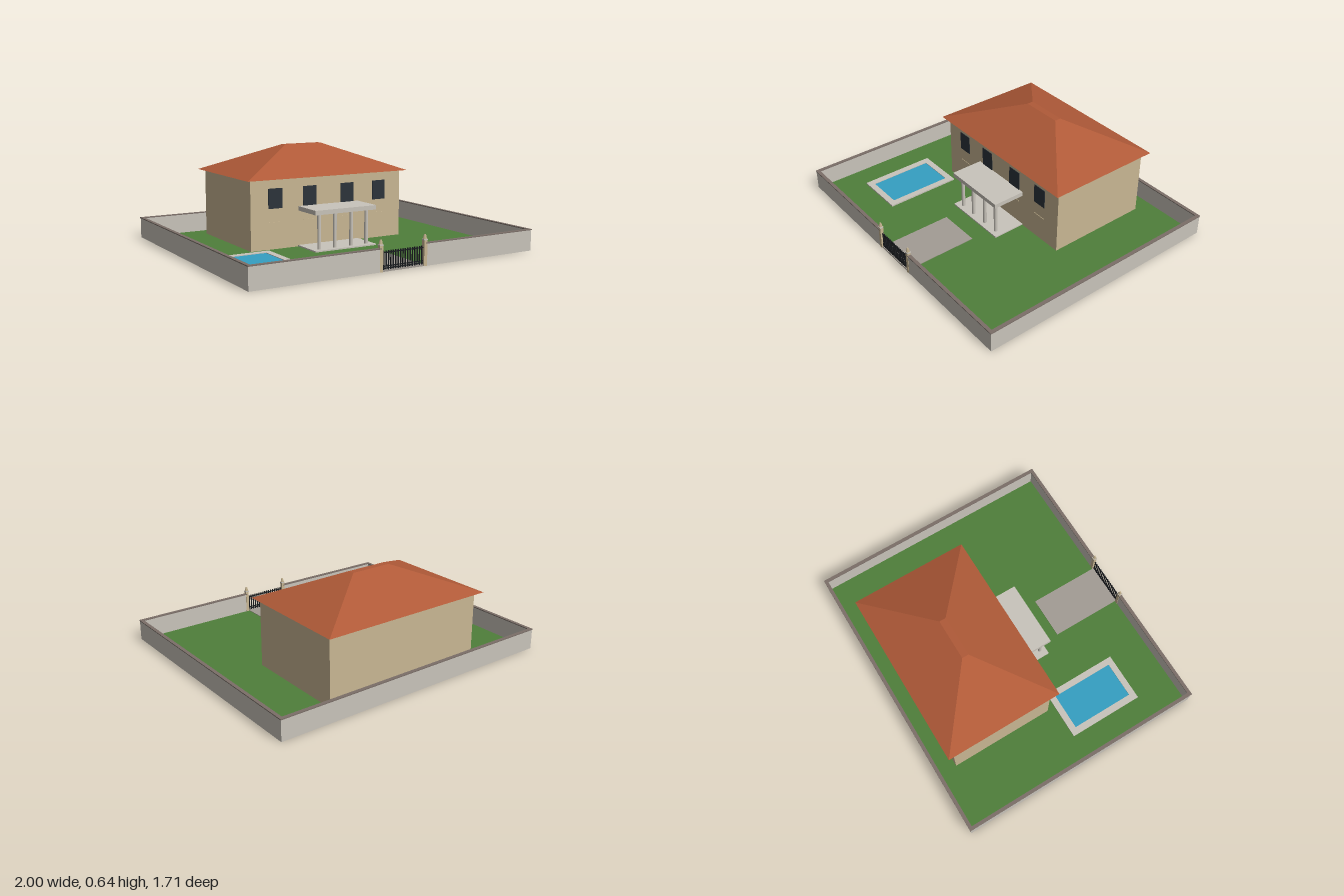
import * as THREE from 'three';

const mat = (name, color, extra = {}) => {
  const m = new THREE.MeshStandardMaterial({ color, ...extra });
  m.name = name;
  return m;
};

export function createModel() {
  const M = {
    stone: mat('pale stone', 0xc9c4bb),
    coping: mat('wall coping', 0x7b6f68),
    grass: mat('grass', 0x4f7f3a),
    plaster: mat('beige plaster', 0xc9b793),
    roof: mat('terracotta roof', 0xb05a38, { flatShading: true }),
    glass: mat('dark glass', 0x2c343b),
    water: mat('pool water', 0x359fc2),
    paving: mat('grey paving', 0xa39c94),
    iron: mat('black iron', 0x1b1d20),
  };
  const model = new THREE.Group();
  model.name = 'walledHouse';

  // Box given by its extents
  const box = (name, material, x0, x1, y0, y1, z0, z1, parent = model) => {
    const mesh = new THREE.Mesh(new THREE.BoxGeometry(x1 - x0, y1 - y0, z1 - z0), material);
    mesh.position.set((x0 + x1) / 2, (y0 + y1) / 2, (z0 + z1) / 2);
    mesh.name = name;
    parent.add(mesh);
    return mesh;
  };
  const group = (name) => {
    const g = new THREE.Group();
    g.name = name;
    model.add(g);
    return g;
  };

  // Garden and driveway
  box('lawn', M.grass, -0.98, 0.98, 0, 0.006, -0.84, 0.84);
  box('driveway', M.paving, -0.145, 0.145, 0, 0.01, 0.35, 0.85);

  // Boundary wall with a darker coping, open at the gate
  const boundary = group('boundaryWall');
  const wall = (x0, x1, z0, z1) => {
    box('wall', M.stone, x0, x1, 0, 0.134, z0, z1, boundary);
    box('coping', M.coping, x0 - 0.003, x1 + 0.003, 0.134, 0.14, z0 - 0.003, z1 + 0.003, boundary);
  };
  wall(-0.997, 0.997, -0.852, -0.835);
  for (const s of [-1, 1]) {
    wall(s * 0.9885 - 0.0085, s * 0.9885 + 0.0085, -0.835, 0.835);
    wall(s < 0 ? -0.997 : 0.16, s < 0 ? -0.16 : 0.997, 0.835, 0.852);
  }

  // Gate posts with tapered finials
  for (const s of [-1, 1]) {
    const post = group(s < 0 ? 'rightGatePost' : 'leftGatePost');
    post.position.set(s * 0.157, 0, 0.843);
    box('shaft', M.plaster, -0.011, 0.011, 0, 0.155, -0.011, 0.011, post);
    box('postCap', M.stone, -0.013, 0.013, 0.155, 0.162, -0.013, 0.013, post);
    const finial = new THREE.Mesh(new THREE.CylinderGeometry(0.006, 0.013, 0.028, 4), M.plaster);
    finial.rotation.y = Math.PI / 4;
    finial.position.y = 0.176;
    finial.name = 'finial';
    post.add(finial);
  }

  // Iron gate
  const gate = group('gate');
  for (const y of [0.016, 0.028, 0.108]) {
    box('rail', M.iron, -0.144, 0.144, y, y + 0.006, 0.84, 0.846, gate);
  }
  for (let i = 0; i < 17; i++) {
    const x = -0.136 + i * 0.017;
    box('bar', M.iron, x - 0.003, x + 0.003, 0.008, 0.122, 0.84, 0.846, gate);
  }

  // House body and windows
  box('houseBody', M.plaster, -0.57, 0.57, 0, 0.46, -0.715, 0);
  for (const x of [-0.395, -0.143, 0.143, 0.395]) {
    box('window', M.glass, x - 0.05, x + 0.05, 0.27, 0.4, -0.002, 0.004);
    box('ledge', M.plaster, x - 0.05, x + 0.05, 0.178, 0.182, -0.002, 0.003);
  }

  // Hipped roof: a box whose upper corners are drawn in to the short ridge
  const roofGeo = new THREE.BoxGeometry(1.21, 0.182, 0.8);
  const p = roofGeo.attributes.position;
  for (let i = 0; i < p.count; i++) {
    if (p.getY(i) > 0) p.setXYZ(i, Math.sign(p.getX(i)) * 0.14, p.getY(i), Math.sign(p.getZ(i)) * 0.022);
  }
  roofGeo.computeVertexNormals();
  const roof = new THREE.Mesh(roofGeo, M.roof);
  roof.position.set(0, 0.551, -0.36);
  roof.name = 'hippedRoof';
  model.add(roof);

  // Porch
  const porch = group('porch');
  box('porchFloor', M.stone, -0.23, 0.23, 0, 0.015, 0, 0.225, porch);
  box('porchRoof', M.stone, -0.228, 0.228, 0.243, 0.272, 0, 0.225, porch);
  for (const x of [-0.178, -0.062, 0.062, 0.178]) {
    const column = new THREE.Mesh(new THREE.CylinderGeometry(0.0125, 0.0125, 0.23, 16), M.stone);
    column.position.set(x, 0.129, 0.183);
    column.name = 'column';
    porch.add(column);
  }

  // Swimming pool: four rim slabs around the water
  const pool = group('pool');
  box('rim', M.stone, -0.81, -0.765, 0, 0.016, 0.055, 0.572, pool);
  box('rim', M.stone, -0.515, -0.472, 0, 0.016, 0.055, 0.572, pool);
  box('rim', M.stone, -0.765, -0.515, 0, 0.016, 0.055, 0.098, pool);
  box('rim', M.stone, -0.765, -0.515, 0, 0.016, 0.53, 0.572, pool);
  box('water', M.water, -0.765, -0.515, 0.001, 0.012, 0.098, 0.53, pool);

  return model;
}
